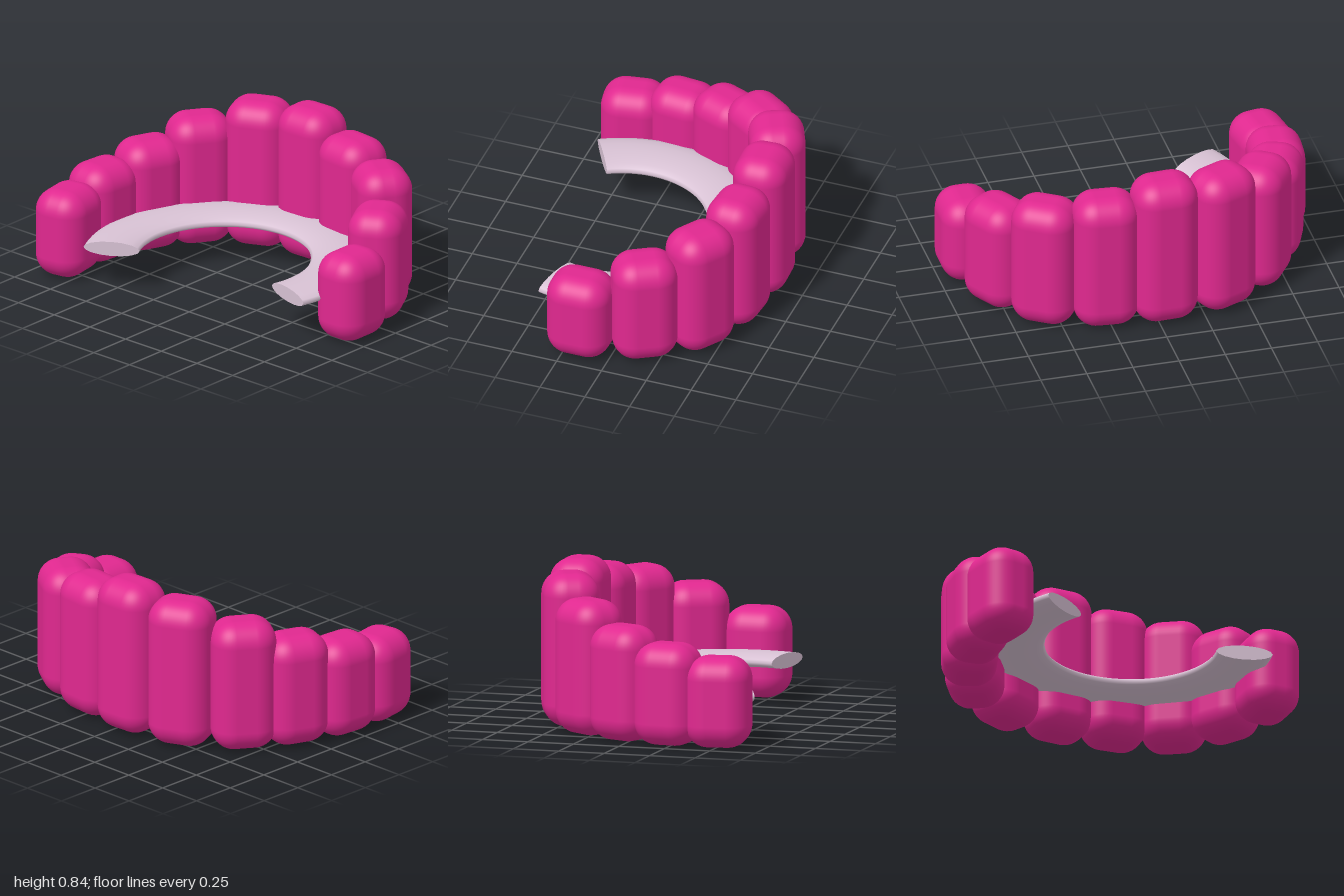
import * as THREE from 'three';
import { RoundedBoxGeometry } from 'three/addons/geometries/RoundedBoxGeometry.js';

// x, z, height and turn of each block along the curved row
const BLOCKS = [
  [-0.50, -0.845, 0.48, 0.17],
  [-0.225, -0.85, 0.54, -0.09],
  [0.045, -0.77, 0.61, -0.38],
  [0.285, -0.63, 0.715, -0.6],
  [0.47, -0.37, 0.81, -1.15],
  [0.52, -0.045, 0.84, -1.53],
  [0.49, 0.265, 0.765, -1.66],
  [0.385, 0.56, 0.715, -2.15],
  [0.145, 0.75, 0.61, -2.62],
  [-0.17, 0.845, 0.48, -Math.PI],
];

export function createModel() {
  const model = new THREE.Group();
  const pink = new THREE.MeshStandardMaterial({ color: 0xe0288f });
  const mauve = new THREE.MeshStandardMaterial({ color: 0xd8c2d4 });

  // Row of rounded upright blocks
  const row = new THREE.Group();
  row.name = 'blockRow';
  BLOCKS.forEach(([x, z, height, turn], i) => {
    const block = new THREE.Mesh(new RoundedBoxGeometry(0.345, height, 0.295, 6, 0.12), pink);
    block.name = `block${i + 1}`;
    block.position.set(x, height / 2, z);
    block.rotation.y = turn;
    row.add(block);
  });
  model.add(row);

  // Flattened curved bar inside the row, closed at both ends
  const radius = 0.6025, half = 0.15, sides = 16, flat = 0.04 / half;
  const arc = THREE.MathUtils.degToRad(225);
  const bar = new THREE.Group();
  bar.name = 'curvedBar';
  bar.position.set(-0.25, 0.235, 0.024);
  bar.rotation.y = THREE.MathUtils.degToRad(-105);

  const ring = new THREE.TorusGeometry(radius, half, sides, 72, arc);
  ring.rotateX(-Math.PI / 2).scale(1, flat, 1);
  const barBody = new THREE.Mesh(ring, mauve);
  barBody.name = 'barBody';
  bar.add(barBody);

  [0, 1].forEach((end) => {
    const cap = new THREE.CircleGeometry(half, sides).scale(1, flat, 1);
    cap.rotateY(end * Math.PI).translate(radius, 0, 0).rotateY(end * arc);
    const mesh = new THREE.Mesh(cap, mauve);
    mesh.name = end ? 'barEndBack' : 'barEndFront';
    bar.add(mesh);
  });
  model.add(bar);

  return model;
}
